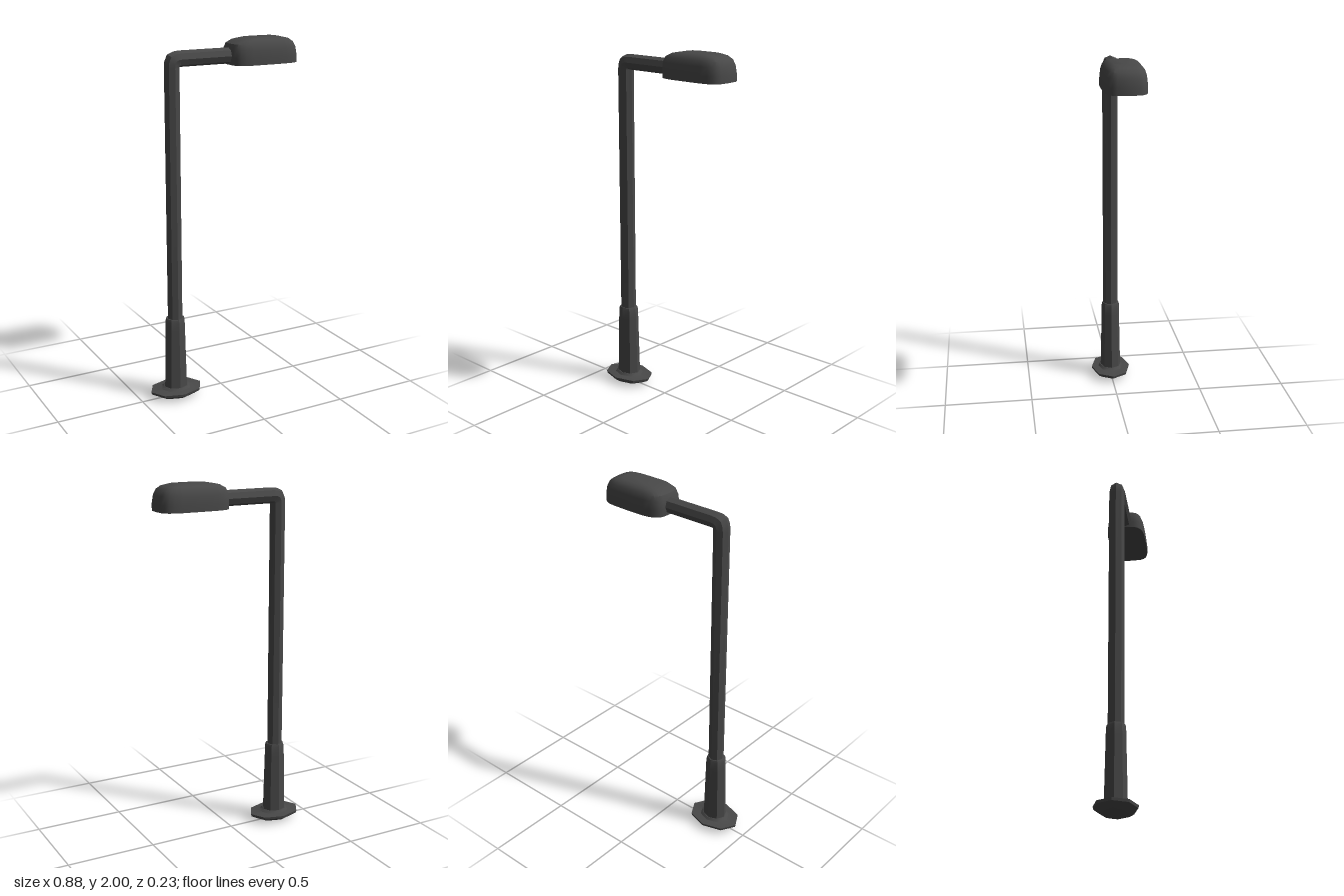
import * as THREE from 'three';
import { toCreasedNormals } from 'three/addons/utils/BufferGeometryUtils.js';

const SIDES = 8;
const POLE_X = -0.29;

// Skin a list of equal-length rings and close both ends.
// Rings run counter-clockwise when seen from the far end of the loft.
function loft(rings) {
  const n = rings[0].length;
  const pos = [], idx = [];
  for (const ring of rings) for (const p of ring) pos.push(p.x, p.y, p.z);
  for (let r = 0; r < rings.length - 1; r++) {
    for (let i = 0; i < n; i++) {
      const a = r * n + i, b = r * n + (i + 1) % n;
      idx.push(a, b, b + n, a, b + n, a + n);
    }
  }
  const last = (rings.length - 1) * n;
  for (let i = 1; i < n - 1; i++) {
    idx.push(0, i + 1, i);
    idx.push(last, last + i, last + i + 1);
  }
  const g = new THREE.BufferGeometry();
  g.setAttribute('position', new THREE.Float32BufferAttribute(pos, 3));
  g.setIndex(idx);
  return toCreasedNormals(g, 0.6);
}

// Horizontal ring; power 1 is an ellipse, 0.5 a rounded rectangle
function ring(cx, y, rx, rz, n = SIDES, power = 1) {
  const soft = (v) => Math.sign(v) * Math.pow(Math.abs(v) < 1e-9 ? 0 : Math.abs(v), power);
  return Array.from({ length: n }, (_, i) => {
    const a = (i / n) * Math.PI * 2;
    return new THREE.Vector3(cx + rx * soft(Math.cos(a)), y, -rz * soft(Math.sin(a)));
  });
}

export function createModel() {
  const group = new THREE.Group();
  const metal = new THREE.MeshStandardMaterial({ color: 0x484848 });
  metal.name = 'dark grey metal';
  const add = (name, geometry) => {
    const mesh = new THREE.Mesh(geometry, metal);
    mesh.name = name;
    group.add(mesh);
  };

  // Foot plate: wide octagon tapering underneath [y, rx, rz]
  add('footPlate', loft([
    [0.0, 0.075, 0.055], [0.012, 0.115, 0.085], [0.032, 0.152, 0.112],
    [0.046, 0.155, 0.115], [0.05, 0.09, 0.074], [0.062, 0.072, 0.064],
  ].map(([y, rx, rz]) => ring(POLE_X, y, rx, rz))));

  // Tapered sleeve around the bottom of the pole
  add('sleeve', loft([
    [0.05, 0.069, 0.06], [0.4, 0.06, 0.053], [0.458, 0.058, 0.052], [0.472, 0.052, 0.048],
  ].map(([y, rx, rz]) => ring(POLE_X, y, rx, rz))));

  // Pole and arm: one octagonal bar turned about the inner corner of the elbow
  const r = 0.043;
  const pivot = new THREE.Vector3(POLE_X + r, 1.867, 0);
  const axis = new THREE.Vector3(0, 0, -1);
  const bar = [ring(POLE_X, 0.45, r, r)];
  for (const [turn, stretch] of [[0, 1], [0.25, 1.04], [0.5, 1.12], [0.75, 1.04], [1, 1]]) {
    bar.push(ring(-r, 0, r, r).map((p) => {
      p.x *= stretch;
      return p.applyAxisAngle(axis, turn * Math.PI / 2).add(pivot);
    }));
  }
  bar.push(bar[bar.length - 1].map((p) => p.clone().setX(0.09)));
  add('poleAndArm', loft(bar));

  // Lamp head: rounded rectangles stacked into a dome [y, xMin, xMax, halfDepth]
  add('lampHead', loft([
    [1.862, 0.043, 0.44, 0.112], [1.9, 0.041, 0.44, 0.112], [1.945, 0.043, 0.433, 0.107],
    [1.972, 0.055, 0.42, 0.098], [1.99, 0.088, 0.395, 0.083], [2.0, 0.145, 0.35, 0.062],
  ].map(([y, x0, x1, rz]) => ring((x0 + x1) / 2, y, (x1 - x0) / 2, rz, 24, 0.5))));

  return group;
}
